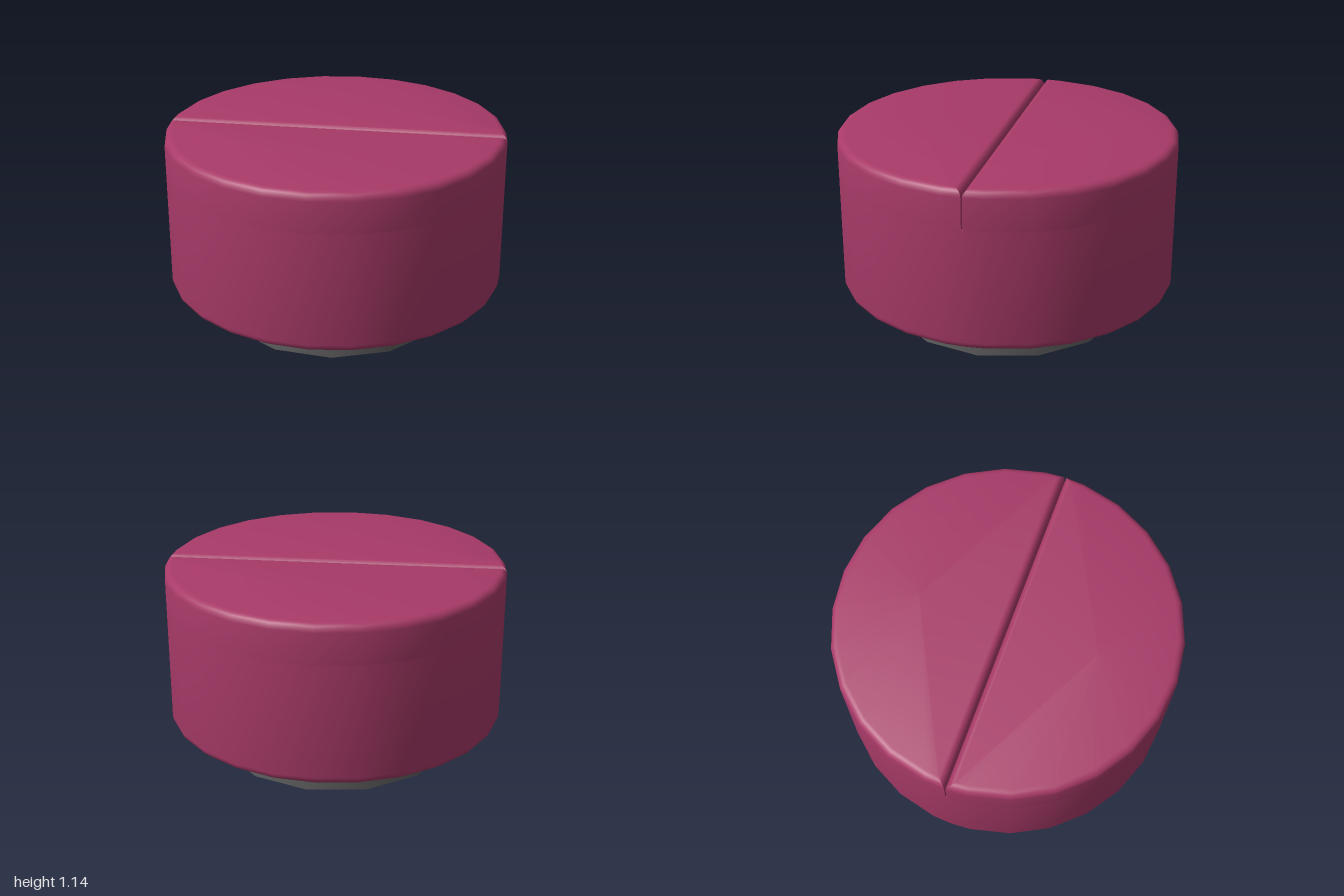
import * as THREE from 'three';
import { toCreasedNormals } from 'three/addons/utils/BufferGeometryUtils.js';

const SIDES = 26;      // sides of the round body
const BEVEL = 0.045;   // rounding of all body edges
const BEVEL_STEPS = 4;
const GAP = 0.004;     // half width of the groove
const BOTTOM = 0.2, SLOT_FLOOR = 0.91, TOP = 1.14;

// Outline of the half with z > 0, pulled in by d, with its straight side at z = gap + d.
function halfOutline(d, gap) {
  const pts = [[1 - d, gap + d]];
  for (let i = 0; i < SIDES / 2; i++) {
    const a = ((i + 0.5) / SIDES) * Math.PI * 2;
    pts.push([Math.cos(a) * (1 - d), Math.max(Math.sin(a) * (1 - d), gap + d)]);
  }
  pts.push([-(1 - d), gap + d]);
  return pts;
}

// Full outline, pulled in by d, with a corner on the x axis at each groove end.
function fullOutline(d) {
  const half = halfOutline(d, -d);
  const arc = half.slice(0, -1);
  return [...arc, ...arc.map(([x, z]) => [-x, -z])];
}

// Joins sections { y, pts } from bottom to top and caps the chosen ends.
function loft(sections, capBottom, capTop) {
  const n = sections[0].pts.length;
  const pos = [], index = [];
  for (const { y, pts } of sections) for (const [x, z] of pts) pos.push(x, y, z);
  for (let s = 0; s < sections.length - 1; s++) {
    for (let j = 0; j < n; j++) {
      const a = s * n + j, b = s * n + ((j + 1) % n);
      index.push(a, a + n, b, b, a + n, b + n);
    }
  }
  const cap = (s, up) => {
    const { y, pts } = sections[s];
    const c = pos.length / 3;
    pos.push(0, y, pts.reduce((sum, p) => sum + p[1], 0) / n);
    for (let j = 0; j < n; j++) {
      const a = s * n + j, b = s * n + ((j + 1) % n);
      if (up) index.push(c, b, a);
      else index.push(c, a, b);
    }
  };
  if (capBottom) cap(0, false);
  if (capTop) cap(sections.length - 1, true);
  const geo = new THREE.BufferGeometry();
  geo.setAttribute('position', new THREE.Float32BufferAttribute(pos, 3));
  geo.setIndex(index);
  return toCreasedNormals(geo, 0.6);
}

export function createModel() {
  const model = new THREE.Group();
  const red = new THREE.MeshStandardMaterial({ color: 0xa83a68 });
  const grey = new THREE.MeshStandardMaterial({ color: 0x606060, side: THREE.DoubleSide });
  const add = (geo, mat, name) => {
    const mesh = new THREE.Mesh(geo, mat);
    mesh.name = name;
    model.add(mesh);
    return mesh;
  };

  // Quarter-round steps: inset from the side and from the end face
  const round = [];
  for (let i = 0; i <= BEVEL_STEPS; i++) {
    const a = (i / BEVEL_STEPS) * Math.PI / 2;
    round.push({ side: BEVEL * (1 - Math.cos(a)), end: BEVEL * (1 - Math.sin(a)) });
  }

  // Lower body with a rounded bottom edge; its top is the groove floor
  const lower = [...round].reverse().map(({ side, end }) => ({ y: BOTTOM + end, pts: fullOutline(side) }));
  lower.push({ y: SLOT_FLOOR, pts: fullOutline(0) });
  add(loft(lower, true, true), red, 'lowerBody');

  // Two upper halves, rounded on the rim and along the groove
  const upper = [{ y: SLOT_FLOOR, pts: halfOutline(0, GAP) }];
  for (const { side, end } of round) upper.push({ y: TOP - end, pts: halfOutline(side, GAP) });
  const halfGeo = loft(upper, false, true);
  add(halfGeo, red, 'frontUpperHalf');
  add(halfGeo, red, 'backUpperHalf').rotation.y = Math.PI;

  // Open collar under the body, with a corner on +x
  const collar = new THREE.CylinderGeometry(0.71, 0.71, BOTTOM + 0.001, 13, 1, true, Math.PI / 2);
  collar.translate(0, BOTTOM / 2, 0);
  add(collar, grey, 'collar');

  return model;
}
